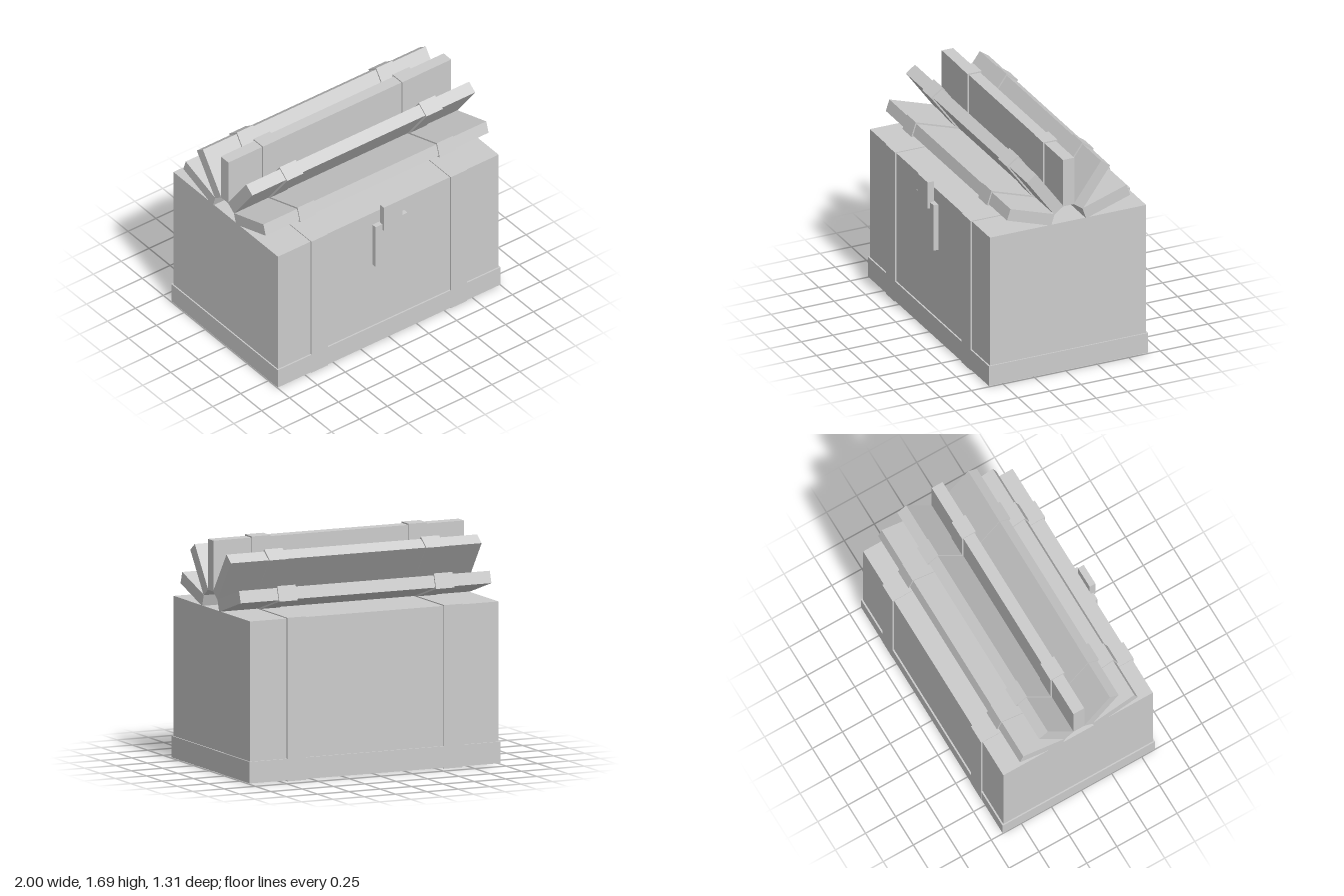
import * as THREE from 'three';

const material = new THREE.MeshStandardMaterial({ color: 0xcccccc, flatShading: true });
const MID_Z = -0.022;

// Box given by its min and max along each axis
function block(name, [x0, x1], [y0, y1], [z0, z1]) {
  const mesh = new THREE.Mesh(new THREE.BoxGeometry(x1 - x0, y1 - y0, z1 - z0), material);
  mesh.name = name;
  mesh.position.set((x0 + x1) / 2, (y0 + y1) / 2, (z0 + z1) / 2);
  return mesh;
}

export function createModel() {
  const chest = new THREE.Group();
  chest.name = 'chest';

  // Body, base trim and vertical straps
  const half = 0.633;
  chest.add(
    block('body', [-0.99, 0.99], [0.01, 1.18], [MID_Z - half + 0.012, MID_Z + half - 0.012]),
    block('baseTrim', [-1, 1], [0.007, 0.163], [MID_Z - half, MID_Z + half])
  );
  for (const side of [-1, 1]) {
    const x = side * 0.625;
    chest.add(block('bodyStrap', [x - 0.073, x + 0.073], [0, 1.187],
      [MID_Z - half - 0.0005, MID_Z + half + 0.0005]));
  }

  // Latch
  chest.add(
    block('latchPlate', [-0.143, 0.143], [0.715, 1.075], [0.6, 0.638]),
    block('latchHasp', [-0.083, 0.083], [1.027, 1.235], [0.608, 0.656])
  );

  // Lid planks fanned out around the long axis, each with two straps
  const lid = new THREE.Group();
  lid.name = 'lid';
  lid.position.set(0, 1.181, MID_Z);
  for (let i = -2; i <= 2; i++) {
    const slat = new THREE.Group();
    slat.name = 'lidSlat';
    slat.add(block('plank', [-1, 1], [0.131, 0.5], [-0.045, 0.045]));
    for (const side of [-1, 1]) {
      const x = side * 0.625;
      slat.add(block('lidStrap', [x - 0.073, x + 0.073], [0.121, 0.51], [-0.057, 0.057]));
    }
    slat.rotation.x = i * Math.PI / 5;
    lid.add(slat);
  }
  chest.add(lid);

  return chest;
}
